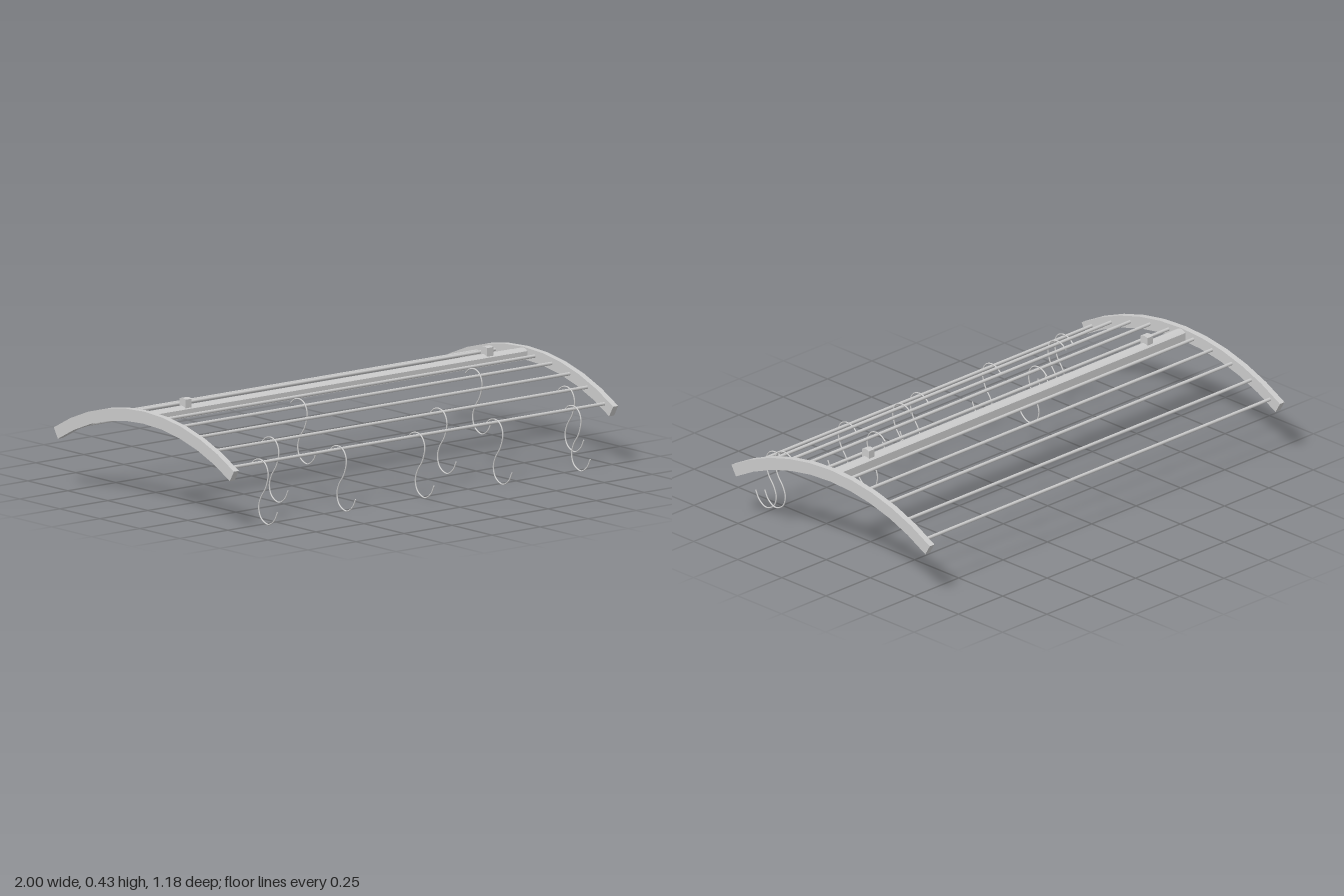
import * as THREE from 'three';
import { toCreasedNormals } from 'three/addons/utils/BufferGeometryUtils.js';

const ARC_Y = -0.70, ARC_Z = -0.025; // centre of the arch circle
const R_OUT = 1.10, R_IN = 1.05, R_ROD = 1.075;

export function createModel() {
  const group = new THREE.Group();
  const mat = new THREE.MeshStandardMaterial({ color: 0xcccccc });
  const add = (name, geo, x = 0, y = 0, z = 0) => {
    const m = new THREE.Mesh(geo, mat);
    m.name = name;
    m.position.set(x, y, z);
    group.add(m);
    return m;
  };

  // Extrudes a (z, y) outline along x, centred on x = 0
  const extrudeX = (points, width) => {
    const shape = new THREE.Shape(points.map(([z, y]) => new THREE.Vector2(-z, y)));
    const geo = new THREE.ExtrudeGeometry(shape, { depth: width, bevelEnabled: false });
    geo.translate(0, 0, -width / 2).rotateY(Math.PI / 2);
    return toCreasedNormals(geo, 0.5);
  };

  // Arched side bars
  const SEG = 10, HALF = 0.537;
  const arch = [];
  const arcPoint = (r, i) => {
    const a = -HALF + (2 * HALF * i) / SEG;
    return [ARC_Z + r * Math.sin(a), ARC_Y + r * Math.cos(a)];
  };
  for (let i = 0; i <= SEG; i++) arch.push(arcPoint(R_OUT, i));
  for (let i = SEG; i >= 0; i--) arch.push(arcPoint(R_IN, i));
  const archGeo = extrudeX(arch, 0.026);
  add('leftSideBar', archGeo, 0.987);
  add('rightSideBar', archGeo, -0.987);

  // Rods following the arch
  const rodGeo = new THREE.CylinderGeometry(0.007, 0.007, 1.96, 12).rotateZ(Math.PI / 2);
  for (const d of [0.07, 0.177, 0.288, 0.398, 0.506]) {
    const y = ARC_Y + Math.sqrt(R_ROD * R_ROD - d * d);
    add('rod', rodGeo, 0, y, ARC_Z + d);
    add('rod', rodGeo, 0, y, ARC_Z - d);
  }

  // Bar outline with a softly domed top
  const domed = (half, bottom, shoulder, crown) => {
    const pts = [[half, bottom], [-half, bottom]];
    for (let i = 0; i <= 8; i++) {
      const t = -1 + i / 4;
      pts.push([half * t, shoulder + (crown - shoulder) * (1 - t * t)]);
    }
    return pts;
  };

  // Central beam and its two mounting blocks
  add('centralBeam', extrudeX(domed(0.026, 0.352, 0.386, 0.397), 1.96), 0, 0, ARC_Z);
  const blockGeo = extrudeX(domed(0.019, 0.385, 0.425, 0.429), 0.032);
  for (const x of [-0.785, 0.785]) add('mountingBlock', blockGeo, x, 0, ARC_Z + 0.002);

  // S-hooks, with the origin at the lowest point of the wire
  const hookPath = new THREE.CatmullRomCurve3([
    [0.057, 0.056], [0.038, 0.022], [0, 0], [-0.044, 0.019], [-0.059, 0.06],
    [-0.047, 0.101], [-0.015, 0.148], [0, 0.2], [-0.005, 0.226], [-0.02, 0.247],
    [-0.047, 0.258], [-0.08, 0.252], [-0.102, 0.235],
  ].map(([z, y]) => new THREE.Vector3(0, y, z)));
  const hookGeo = new THREE.TubeGeometry(hookPath, 56, 0.003, 8);
  const capGeo = new THREE.SphereGeometry(0.003, 8, 6);
  const hookRows = [
    { y: 0.003, z: 0.53, xs: [-0.815, -0.408, 0, 0.406, 0.813] },
    { y: 0.056, z: 0.42, xs: [-0.668, 0.207, 0.871] },
    { y: 0.128, z: 0.182, xs: [-0.322, 0.588] },
  ];
  for (const { y, z, xs } of hookRows) {
    for (const x of xs) {
      const hook = add('hook', hookGeo, x, y, z);
      for (const t of [0, 1]) {
        const cap = new THREE.Mesh(capGeo, mat);
        cap.name = 'hookTip';
        cap.position.copy(hookPath.getPoint(t));
        hook.add(cap);
      }
    }
  }
  return group;
}
